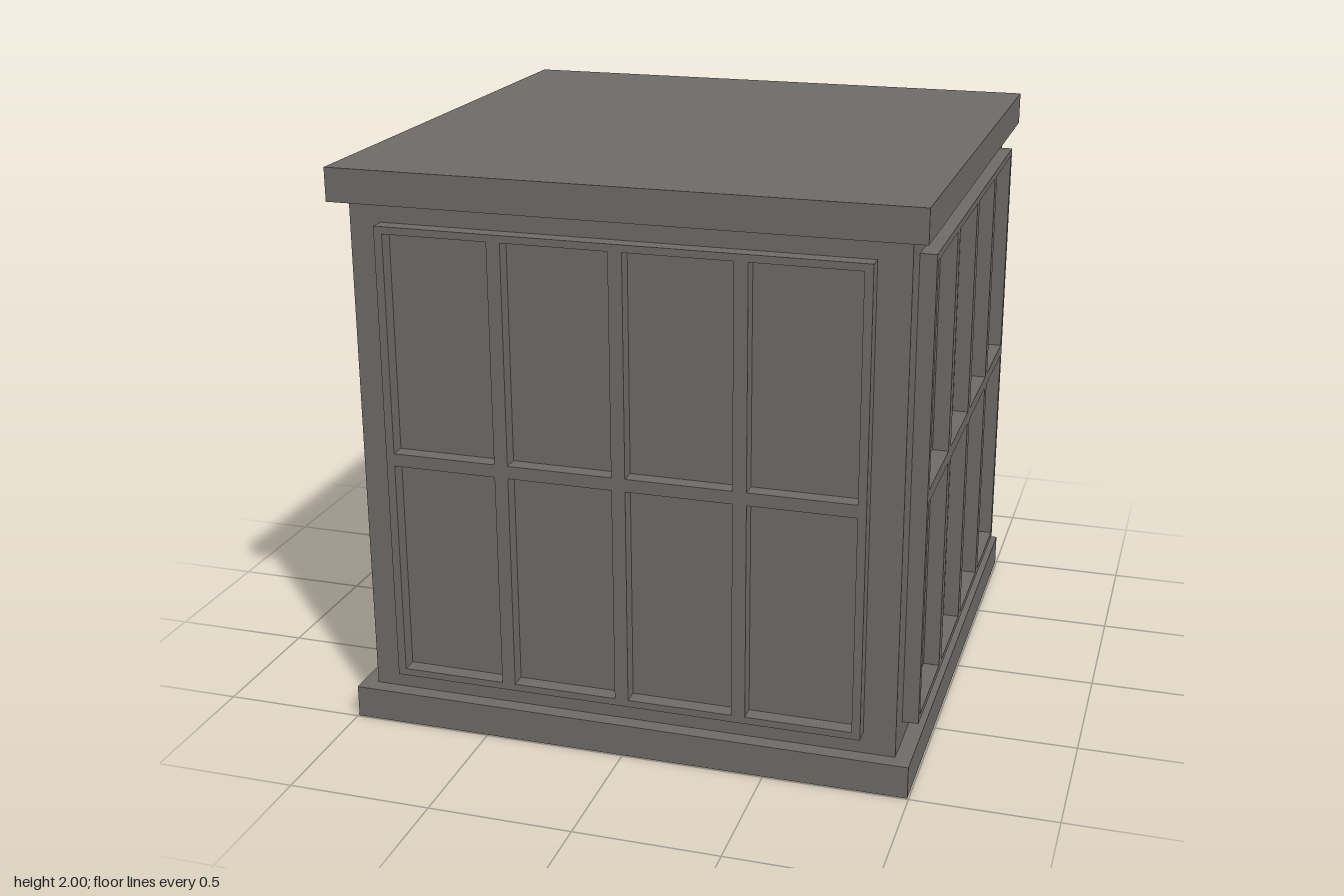
import * as THREE from 'three';

export function createModel() {
  const model = new THREE.Group();
  model.name = 'latticeBlock';
  const stone = new THREE.MeshStandardMaterial({ color: 0x6e6c67 });
  stone.name = 'grey stone';

  const HALF = 0.995, BODY = 0.94;

  function box(name, w, y0, y1) {
    const mesh = new THREE.Mesh(new THREE.BoxGeometry(w, y1 - y0, w), stone);
    mesh.name = name;
    mesh.position.y = (y0 + y1) / 2;
    model.add(mesh);
  }

  // Plinth, core and cap
  box('basePlinth', HALF * 2, 0, 0.115);
  box('core', BODY * 2, 0.115, 1.885);
  box('topCap', HALF * 2, 1.885, 2);

  function rectangle(target, x0, y0, x1, y1) {
    target.moveTo(x0, y0).lineTo(x1, y0).lineTo(x1, y1).lineTo(x0, y1).closePath();
    return target;
  }

  // Window lattice: one frame with a four by two set of openings
  const frame = rectangle(new THREE.Shape(), -0.83, 0.19, 0.83, 1.815);
  const paneW = 0.365, paneH = 0.765, stepX = 0.4125, stepY = 0.81;
  for (let col = 0; col < 4; col++) {
    for (let row = 0; row < 2; row++) {
      const x = (col - 1.5) * stepX - paneW / 2;
      const y = 0.215 + row * stepY;
      frame.holes.push(rectangle(new THREE.Path(), x, y, x + paneW, y + paneH));
    }
  }
  const latticeGeometry = new THREE.ExtrudeGeometry(frame, { depth: HALF - BODY, bevelEnabled: false });
  latticeGeometry.translate(0, 0, BODY);

  // The same lattice on all four sides
  ['front', 'left', 'back', 'right'].forEach((side, i) => {
    const lattice = new THREE.Mesh(latticeGeometry, stone);
    lattice.name = side + 'Lattice';
    lattice.rotation.y = i * Math.PI / 2;
    model.add(lattice);
  });

  return model;
}
